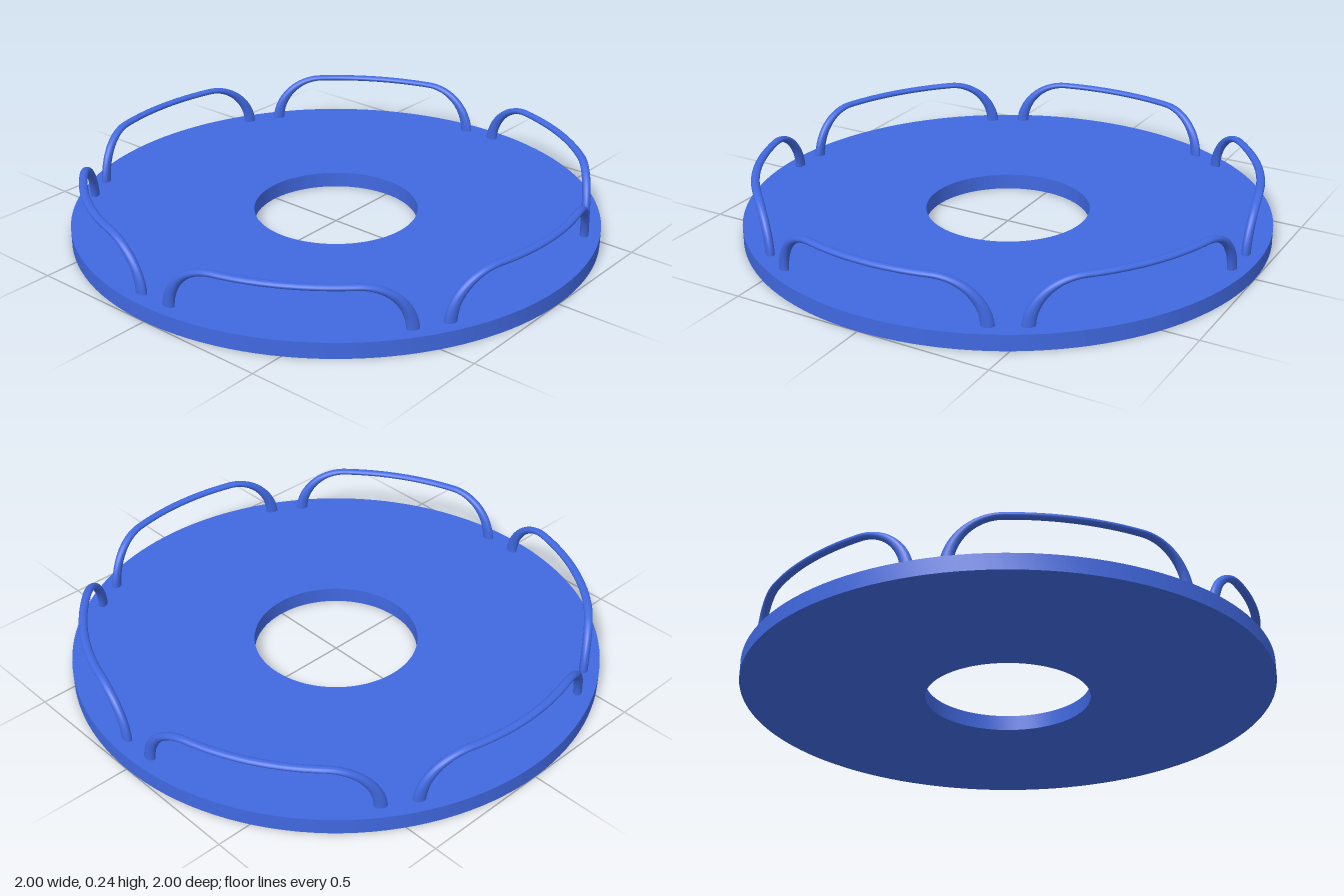
import * as THREE from 'three';
import { toCreasedNormals } from 'three/addons/utils/BufferGeometryUtils.js';

const DISC_HEIGHT = 0.06, HOLE_RADIUS = 0.312;
const RAIL_RADIUS = 0.942, RAIL_TOP = 0.23, RAIL_HALF_WIDTH = 0.016;
const RAIL_COUNT = 6, STEPS = 24, SIDES = 16;

// Arch path unrolled on the rail cylinder: [arc length, height, half thickness]
function archPath() {
  const half = 0.427, flat = 0.24, base = 0.05;
  const path = [];
  // rounded corner from the foot up to the flat top
  for (let i = 0; i <= STEPS; i++) {
    const t = (i / STEPS) * Math.PI / 2;
    const thick = THREE.MathUtils.lerp(0.024, 0.011, Math.pow(Math.sin(t), 1.5));
    path.push([-flat - (half - flat) * Math.cos(t), base + (RAIL_TOP - base) * Math.sin(t), thick]);
  }
  // flat top up to the middle, then the mirrored half
  for (let i = 1; i <= 8; i++) path.push([-flat * (1 - i / 8), RAIL_TOP, 0.011]);
  const mirrored = path.slice(0, -1).reverse().map(([s, y, h]) => [-s, y, h]);
  return path.concat(mirrored);
}

// Elliptical section swept along the arch, bent around the disc axis
function railGeometry() {
  const path = archPath(), positions = [], index = [];
  path.forEach(([s, y, h], i) => {
    const a = path[Math.max(i - 1, 0)], b = path[Math.min(i + 1, path.length - 1)];
    const len = Math.hypot(b[0] - a[0], b[1] - a[1]);
    const ns = -(b[1] - a[1]) / len, ny = (b[0] - a[0]) / len;
    for (let j = 0; j < SIDES; j++) {
      const u = (j / SIDES) * Math.PI * 2;
      const r = RAIL_RADIUS + RAIL_HALF_WIDTH * Math.cos(u);
      const angle = (s + ns * h * Math.sin(u)) / RAIL_RADIUS;
      positions.push(r * Math.sin(angle), y + ny * h * Math.sin(u), r * Math.cos(angle));
      if (i < path.length - 1) {
        const k = (j + 1) % SIDES, p = i * SIDES, q = p + SIDES;
        index.push(p + j, q + j, p + k, q + j, q + k, p + k);
      }
    }
  });
  const geometry = new THREE.BufferGeometry();
  geometry.setAttribute('position', new THREE.Float32BufferAttribute(positions, 3));
  geometry.setIndex(index);
  geometry.computeVertexNormals();
  return geometry;
}

export function createModel() {
  const group = new THREE.Group();
  group.name = 'railedRingTray';
  const blue = new THREE.MeshStandardMaterial({ color: 0x4169e1 });

  // Flat disc with a round centre hole
  const profile = [[HOLE_RADIUS, 0], [1, 0], [1, DISC_HEIGHT], [HOLE_RADIUS, DISC_HEIGHT], [HOLE_RADIUS, 0]]
    .map(([x, y]) => new THREE.Vector2(x, y));
  const disc = new THREE.Mesh(toCreasedNormals(new THREE.LatheGeometry(profile, 128), 0.6), blue);
  disc.name = 'disc';
  group.add(disc);

  // Curved guard rails around the rim
  const rails = new THREE.Group();
  rails.name = 'guardRails';
  const geometry = railGeometry();
  for (let i = 0; i < RAIL_COUNT; i++) {
    const rail = new THREE.Mesh(geometry, blue);
    rail.name = 'guardRail' + (i + 1);
    rail.rotation.y = (i / RAIL_COUNT) * Math.PI * 2 - 0.006;
    rails.add(rail);
  }
  group.add(rails);
  return group;
}
